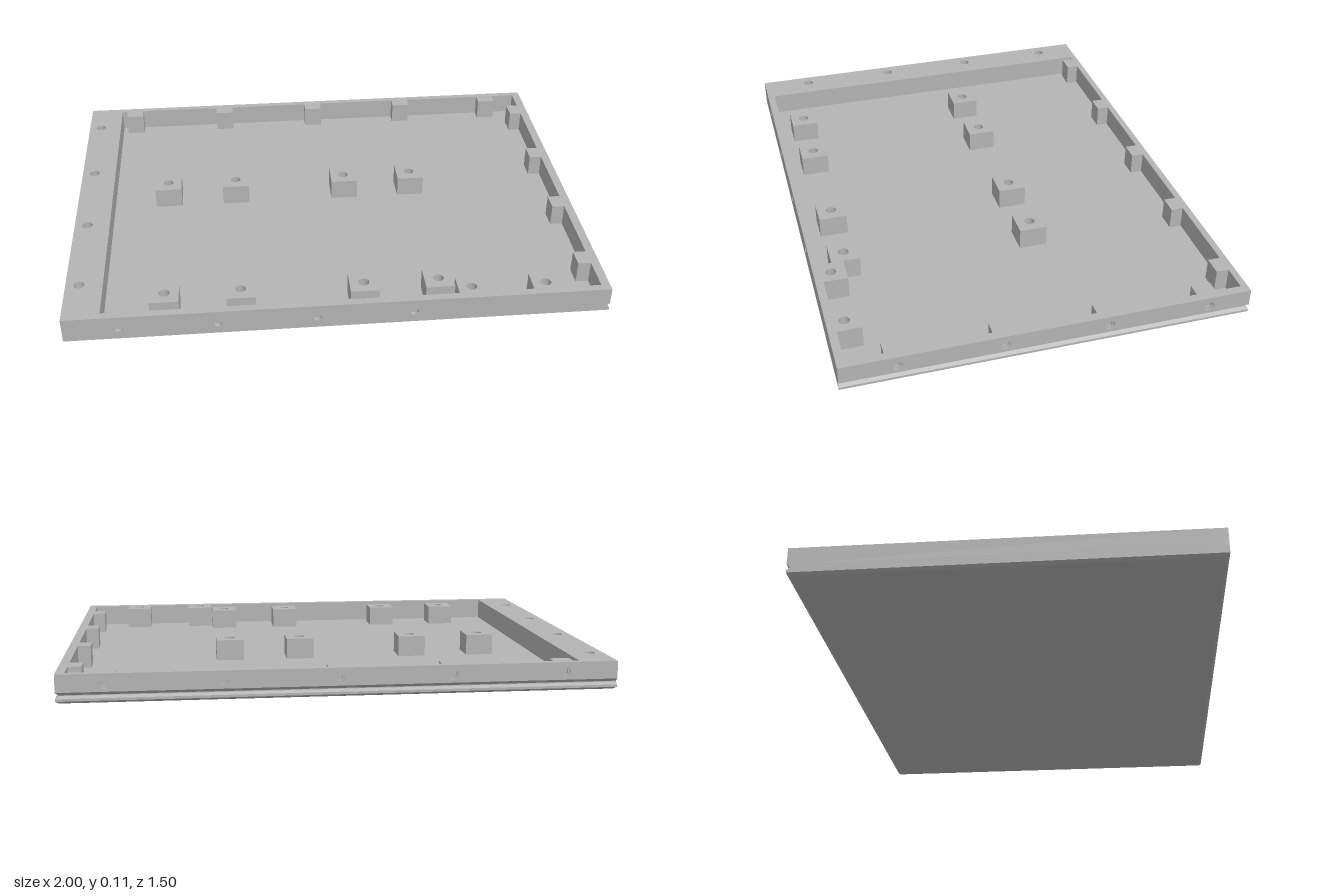
import * as THREE from 'three';

const W = 1, D = 0.75, H = 0.105;      // half width, half depth, height
const FLOOR = 0.02, SEAM = 0.04;       // cavity floor, top of the grooved base
const SKIN = 0.015;                    // thickness of the drilled outer panels

const circle = (x, y, r) => new THREE.Path().absarc(x, y, r, 0, Math.PI * 2, true);

function rect(x0, y0, x1, y1) {
  return new THREE.Shape([[x0, y0], [x1, y0], [x1, y1], [x0, y1]].map(p => new THREE.Vector2(...p)));
}

const extrude = (shape, depth) =>
  new THREE.ExtrudeGeometry(shape, { depth, bevelEnabled: false, curveSegments: 12 });

// Plan shapes are drawn in (x, -z) and raised upward from y0
const raise = (shape, y0, y1) => extrude(shape, y1 - y0).rotateX(-Math.PI / 2).translate(0, y0, 0);

// Solid base: rectangular rings with bottom chamfer and a V groove on the +x and -z sides
function baseGeometry() {
  const rings = [ // y, inset on -x and +z, inset on +x and -z
    [0, 0.012, 0.012], [0.009, 0, 0], [0.018, 0, 0],
    [0.026, 0, 0.012], [0.029, 0, 0.012], [SEAM, 0, 0],
  ].map(([y, a, b]) => [
    [-W + a, y, D - a], [W - b, y, D - a], [W - b, y, -D + b], [-W + a, y, -D + b],
  ]);
  const pos = [];
  const tri = (...pts) => pts.forEach(p => pos.push(...p));
  for (let r = 0; r < rings.length - 1; r++) {
    for (let i = 0; i < 4; i++) {
      const j = (i + 1) % 4, lo = rings[r], hi = rings[r + 1];
      tri(lo[i], lo[j], hi[j]);
      tri(lo[i], hi[j], hi[i]);
    }
  }
  const b = rings[0];
  tri(b[0], b[2], b[1]);
  tri(b[0], b[3], b[2]);
  const geo = new THREE.BufferGeometry();
  geo.setAttribute('position', new THREE.Float32BufferAttribute(pos, 3));
  geo.computeVertexNormals();
  return geo;
}

export function createModel() {
  const model = new THREE.Group();
  model.name = 'enclosureTray';
  const grey = new THREE.MeshStandardMaterial({ color: 0xb4b4b4 });
  grey.name = 'plainGrey';
  const add = (name, geo, parent = model) => {
    const mesh = new THREE.Mesh(geo, grey);
    mesh.name = name;
    parent.add(mesh);
    return mesh;
  };

  const backX = [-0.803, -0.393, 0.016, 0.426, 0.832];
  const sideZ = [-0.59, -0.21, 0.17, 0.55];
  const frontX = [-0.8, -0.445, -0.085, 0.27];

  add('base', baseGeometry());
  add('floor', raise(rect(-W + SKIN, -D + SKIN, W - SKIN, D - SKIN), 0.012, FLOOR));

  // Cavity outline, with bosses reaching in from the back, +x and front walls
  const x0 = -0.862, x1 = 0.967, z0 = -0.725, z1 = 0.72, half = 0.037;
  const outline = [[x0, z0]];
  for (const x of backX) {
    outline.push([x - half, z0], [x - half, -0.678], [x + half, -0.678], [x + half, z0]);
  }
  outline.push([x1, z0]);
  for (const z of sideZ) {
    outline.push([x1, z - half], [0.918, z - half], [0.918, z + half], [x1, z + half]);
  }
  outline.push([x1, z1]);
  for (const x of [0.768, 0.49]) {
    outline.push([x + 0.052, z1], [x + 0.052, 0.63], [x - 0.052, 0.63], [x - 0.052, z1]);
  }
  outline.push([x0, z1]);

  // Inner frame with vertical screw holes
  const frame = rect(-W + SKIN, -D + SKIN, W - SKIN, D - SKIN);
  frame.holes.push(new THREE.Path(outline.map(([x, z]) => new THREE.Vector2(x, -z))));
  for (const z of sideZ) frame.holes.push(circle(-0.95, -z, 0.02));
  for (const x of [0.768, 0.49]) frame.holes.push(circle(x, -0.685, 0.02));
  add('frame', raise(frame, FLOOR, H));

  // Outer wall panels; u runs along the wall and the outside faces local +z
  function panel(name, halfLength, holes, y, r, counterbore, angle, distance) {
    const wall = new THREE.Group();
    wall.name = name;
    const shape = rect(-halfLength, SEAM, halfLength, H);
    for (const u of holes) shape.holes.push(circle(u, y, r));
    add(name + 'Panel', extrude(shape, SKIN), wall);
    if (counterbore) {
      for (const u of holes) {
        const ring = new THREE.Shape().absarc(u, y, r, 0, Math.PI * 2, false);
        ring.holes.push(circle(u, y, r * 0.68));
        add('counterboreStep', extrude(ring, 0.009), wall);
      }
    }
    wall.rotation.y = angle;
    wall.position.set(Math.sin(angle) * (distance - SKIN), 0, Math.cos(angle) * (distance - SKIN));
    model.add(wall);
  }
  panel('frontWall', W, frontX, 0.055, 0.016, false, 0, D);
  panel('backWall', W, backX.map(x => -x), 0.07, 0.02, true, Math.PI, D);
  panel('leftWall', D - SKIN, sideZ.map(z => -z), 0.07, 0.02, true, Math.PI / 2, W);
  panel('rightWall', D - SKIN, [], 0, 0, false, -Math.PI / 2, W);

  // Square standoff posts with screw holes
  const postShape = rect(-0.054, -0.054, 0.054, 0.054);
  postShape.holes.push(circle(0, 0, 0.02));
  const postGeo = raise(postShape, FLOOR, 0.101);
  for (const z of [-0.115, 0.62]) {
    for (const x of [-0.637, -0.357, 0.098, 0.378]) {
      add('standoffPost', postGeo).position.set(x, 0, z);
    }
  }
  return model;
}
